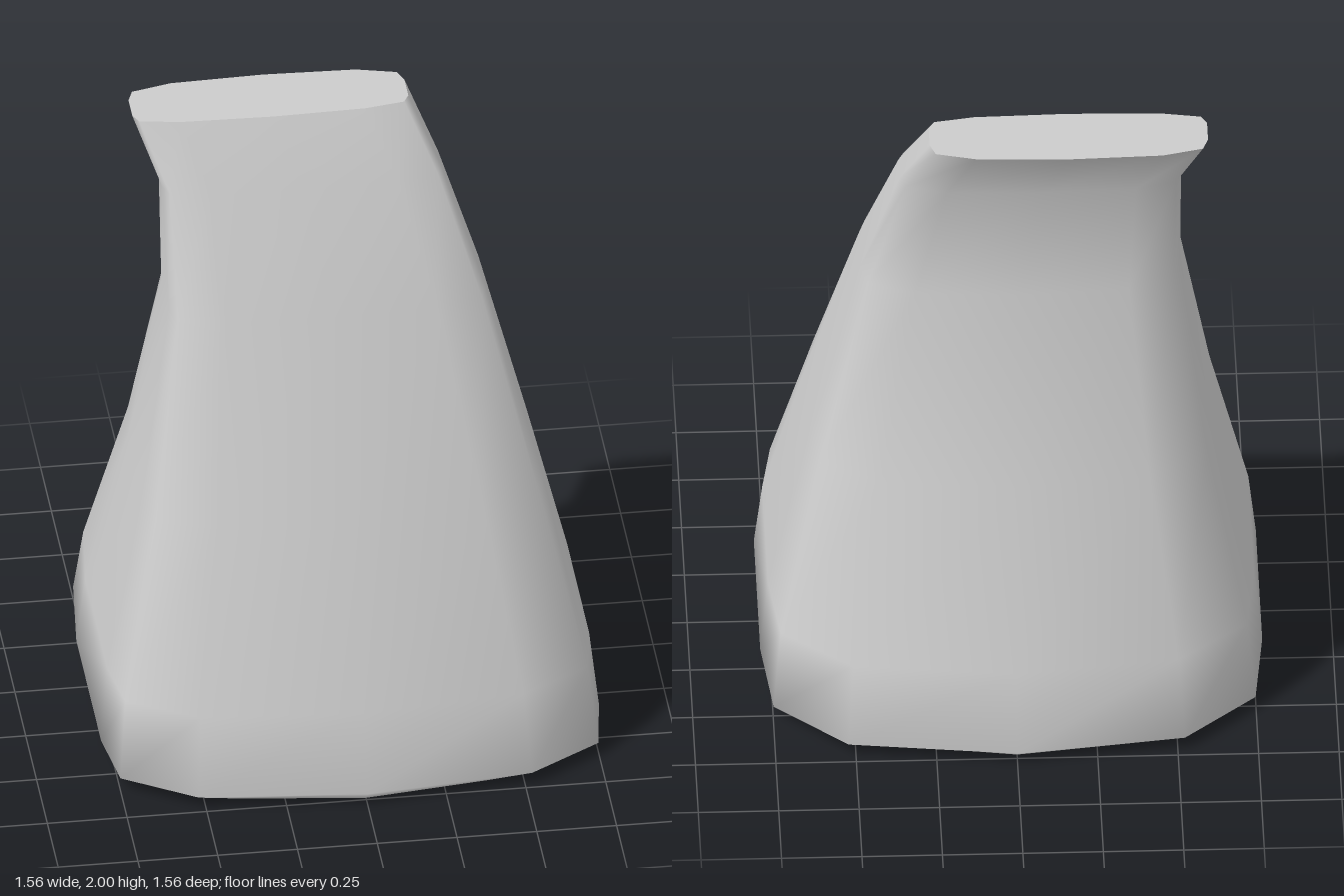
import * as THREE from 'three';

// Half outline of every section, front to back, as fractions of its half width and depth
const half = [[0, 1], [0.67, 0.935], [0.96, 0.755], [1, 0.475], [1, -0.26], [0.96, -0.65], [0.67, -0.915], [0, -1]];
const outline = [...half, ...half.slice(1, -1).reverse().map(([x, z]) => [-x, z])];

// Sections: height, left edge, right edge, back edge, front edge
const sections = [
  [0, -0.57, 0.57, -0.73, 0.74],
  [0.04, -0.78, 0.78, -0.78, 0.78],
  [0.28, -0.755, 0.755, -0.69, 0.69],
  [0.83, -0.63, 0.62, -0.46, 0.455],
  [1.43, -0.528, 0.465, -0.27, 0.195],
  [1.8, -0.53, 0.345, -0.24, 0.02],
  [2, -0.61, 0.255, -0.34, -0.1],
];

function ring([y, x0, x1, z0, z1]) {
  return outline.flatMap(([x, z]) => [
    (x0 + x1) / 2 + x * (x1 - x0) / 2, y, (z0 + z1) / 2 + z * (z1 - z0) / 2,
  ]);
}

function makeMesh(name, positions, index) {
  const geometry = new THREE.BufferGeometry();
  geometry.setAttribute('position', new THREE.Float32BufferAttribute(positions, 3));
  geometry.setIndex(index);
  geometry.computeVertexNormals();
  const mesh = new THREE.Mesh(geometry, new THREE.MeshStandardMaterial({ color: 0xcccccc }));
  mesh.name = name;
  return mesh;
}

export function createModel() {
  const group = new THREE.Group();
  group.name = 'leaningTaperedBody';
  const n = outline.length;

  // Smooth tapering wall with its rounded underside edge
  const wall = [];
  for (let i = 0; i < sections.length - 1; i++) {
    for (let j = 0; j < n; j++) {
      const a = i * n + j, b = i * n + (j + 1) % n;
      wall.push(a, b, b + n, a, b + n, a + n);
    }
  }
  group.add(makeMesh('body', sections.flatMap(ring), wall));

  // Flat top and bottom, each a fan with its own hard edge
  const top = [], bottom = [];
  for (let j = 1; j < n - 1; j++) {
    top.push(0, j, j + 1);
    bottom.push(0, j + 1, j);
  }
  group.add(makeMesh('topFace', ring(sections[sections.length - 1]), top));
  group.add(makeMesh('bottomFace', ring(sections[0]), bottom));
  return group;
}
